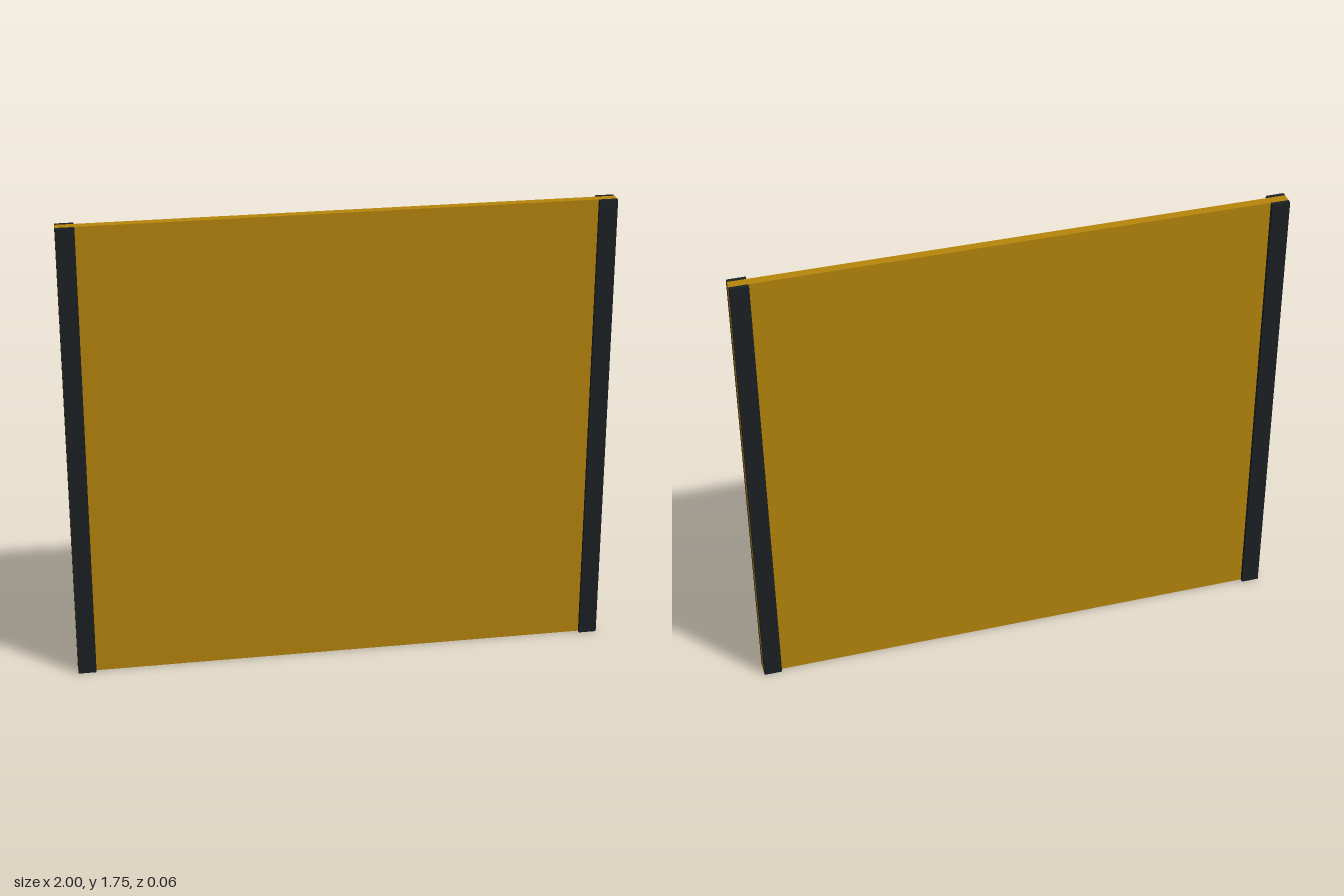
import * as THREE from 'three';

const HEIGHT = 1.75;
const PANEL_DEPTH = 0.034;
const STRIP_WIDTH = 0.067;
const STRIP_DEPTH = 0.015;

export function createModel() {
  const model = new THREE.Group();
  model.name = 'framedPanel';
  const panelMaterial = new THREE.MeshStandardMaterial({ color: 0xb8860b });
  const stripMaterial = new THREE.MeshStandardMaterial({ color: 0x1c2124 });

  function addBox(name, width, depth, x, z, material) {
    const mesh = new THREE.Mesh(new THREE.BoxGeometry(width, HEIGHT, depth), material);
    mesh.name = name;
    mesh.position.set(x, HEIGHT / 2, z);
    model.add(mesh);
  }

  // Thin full-width board
  addBox('panel', 2, PANEL_DEPTH, 0, 0, panelMaterial);

  // Dark edge strips on both faces, at both sides
  for (const [side, sx] of [['left', 1], ['right', -1]]) {
    for (const [face, sz] of [['Front', 1], ['Back', -1]]) {
      addBox(side + face + 'Strip', STRIP_WIDTH, STRIP_DEPTH,
        sx * (1 - STRIP_WIDTH / 2), sz * (PANEL_DEPTH + STRIP_DEPTH) / 2, stripMaterial);
    }
  }
  return model;
}
